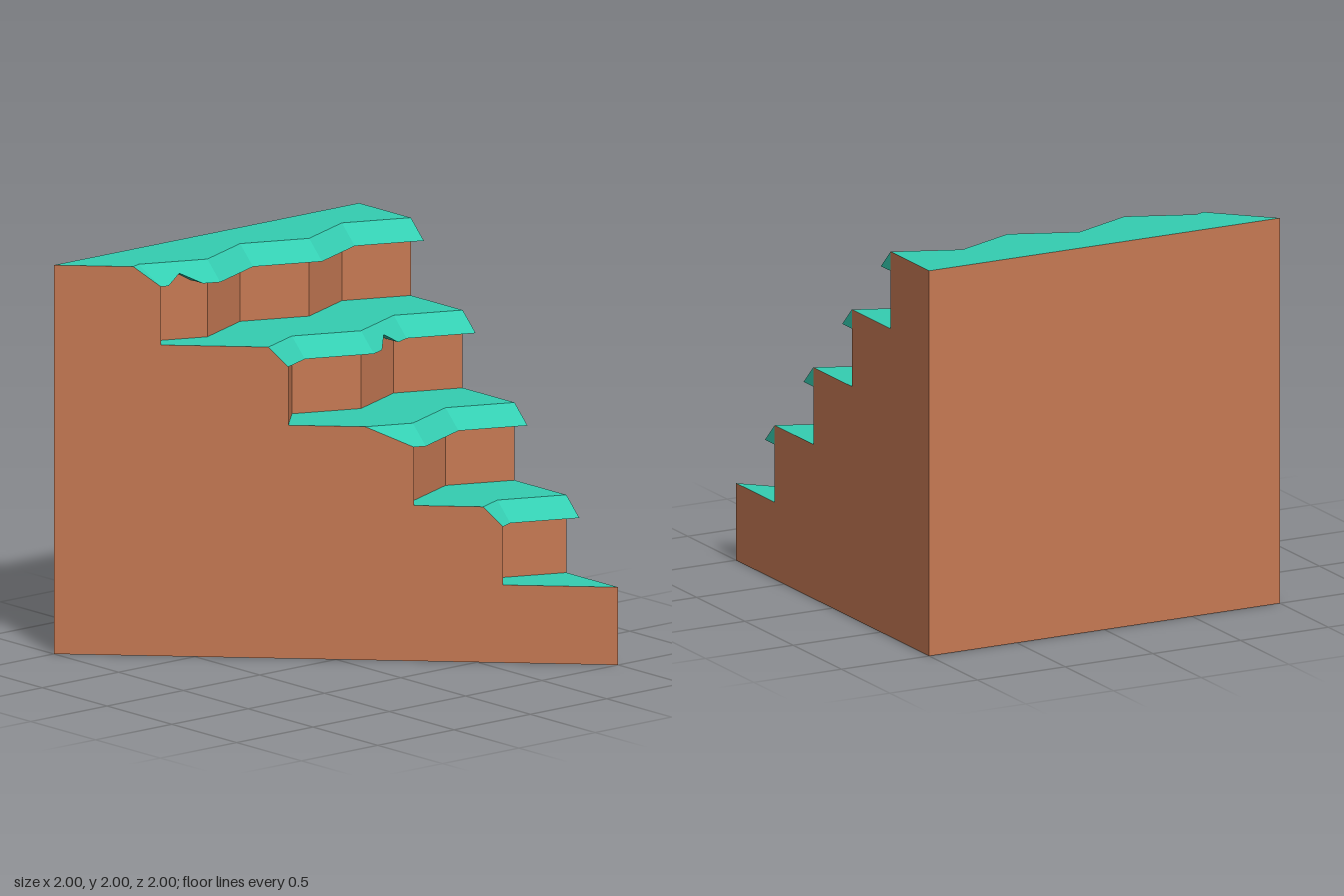
import * as THREE from 'three';

const rock = new THREE.MeshStandardMaterial({ color: 0xc67953, flatShading: true, side: THREE.DoubleSide });
const grass = new THREE.MeshStandardMaterial({ color: 0x34ceb2, flatShading: true, side: THREE.DoubleSide });

const LIP = 0.1;
// Terraces from low to high: height, front edge, optional notch position in the lip
const TIERS = [
  { y: 0.8, z: 0.6 },
  { y: 1.2, z: 0.2 },
  { y: 1.6, z: -0.2, notch: 0.5 },
  { y: 2.0, z: -0.6, notch: -0.5 },
];

// Zigzag cliff line, set back by up to 0.14
const zigzag = (x) => -0.14 * Math.abs((Math.abs(3 * x) % 2) - 1);

// x where a zigzag line meets the diagonal side z = x
function meetDiagonal(z) {
  let a = -1, b = 1;
  for (let i = 0; i < 40; i++) {
    const m = (a + b) / 2;
    if (m < z + zigzag(m)) a = m; else b = m;
  }
  return a;
}

// Flat panels between two matching lines of points
function strip(a, b) {
  const p = [];
  for (let i = 0; i + 1 < a.length; i++) {
    p.push(...a[i], ...a[i + 1], ...b[i + 1], ...a[i], ...b[i + 1], ...b[i]);
  }
  const g = new THREE.BufferGeometry();
  g.setAttribute('position', new THREE.Float32BufferAttribute(p, 3));
  g.computeVertexNormals();
  return g;
}

const flat = (pts) => new THREE.ShapeGeometry(new THREE.Shape(pts.map(([x, y]) => new THREE.Vector2(x, y))));
// Upward floor from [x, z] points
const floor = (pts, y) => flat(pts.map(([x, z]) => [x, -z])).rotateX(-Math.PI / 2).translate(0, y, 0);
// Face on the plane x = 1 from [z, y] points
const sideFace = (pts) => flat(pts.map(([z, y]) => [-z, y])).rotateY(Math.PI / 2).translate(1, 0, 0);

// Edge lines of one terrace, left to right
function layout({ y, z, notch }) {
  const start = meetDiagonal(z), low = meetDiagonal(z + LIP);
  let xs = [-2, -1, 0, 1, 2, 3].map((k) => k / 3).filter((x) => x > start);
  if (notch !== undefined) xs.push(notch - 1 / 12, notch, notch + 1 / 12);
  xs = [start, ...xs.sort((a, b) => a - b)];
  const drop = (x) => (x === notch ? LIP / 2 : LIP);
  const upper = xs.map((x) => [x, y, z + zigzag(x)]);
  const lower = xs.map((x) => (x < low ? [low, y - LIP, low] : [x, y - drop(x), z + zigzag(x) + drop(x)]));
  const wall = xs.map((x, i) => (i === 0 ? [low, y - LIP, low] : [x, y - drop(x), z + zigzag(x)]));
  return { y, z, start, low, upper, lower, wall };
}

export function createModel() {
  const model = new THREE.Group();
  const add = (name, geometry, material) => {
    const mesh = new THREE.Mesh(geometry, material);
    mesh.name = name;
    model.add(mesh);
  };
  const plan = ([x, , z]) => [x, z];
  const tiers = TIERS.map(layout);

  // Cliff walls and overhanging grass lips
  tiers.forEach((t) => {
    add('cliffWall', strip(t.wall.map(([x, , z]) => [x, t.y - 0.4, z]), t.wall), rock);
    add('grassLip', strip(t.lower, t.upper), grass);
    add('lipUnderside', strip(t.wall, t.lower), grass);
    add('lipEnd', sideFace([[t.z, t.y], [t.z + LIP, t.y - LIP], [t.z, t.y - LIP]]), grass);
  });

  // Grass floors, each from its own edge back to the wall above
  const fronts = [[[-1, -1], [1, 1]].slice(1), ...tiers.map((t) => t.upper.map(plan))];
  const backs = [...tiers.map((t) => t.wall.map(plan)), [[-1, -1], [1, -1]]];
  fronts.forEach((front, i) => {
    add('grassFloor', floor([...front, ...backs[i].slice().reverse()], 0.4 * (i + 1)), grass);
  });

  // Stepped right-angle side
  const steps = tiers.flatMap((t) => [[t.z, t.y - 0.4], [t.z, t.y]]);
  add('steppedSide', sideFace([[-1, 0], [1, 0], [1, 0.4], ...steps, [-1, 2]]), rock);

  // Diagonal cut side
  const cut = tiers.flatMap((t) => [[t.low, t.y - 0.4], [t.low, t.y - LIP], [t.start, t.y]]);
  const outline = [[-1, 0], [1, 0], [1, 0.4], ...cut, [-1, 2]].map(([t, y]) => [t * Math.SQRT2, y]);
  add('diagonalSide', flat(outline).rotateY(-Math.PI / 4), rock);

  // Back and base
  add('back', new THREE.PlaneGeometry(2, 2).rotateY(Math.PI).translate(0, 1, -1), rock);
  add('base', flat([[-1, -1], [1, -1], [1, 1]]).rotateX(Math.PI / 2), rock);
  return model;
}
